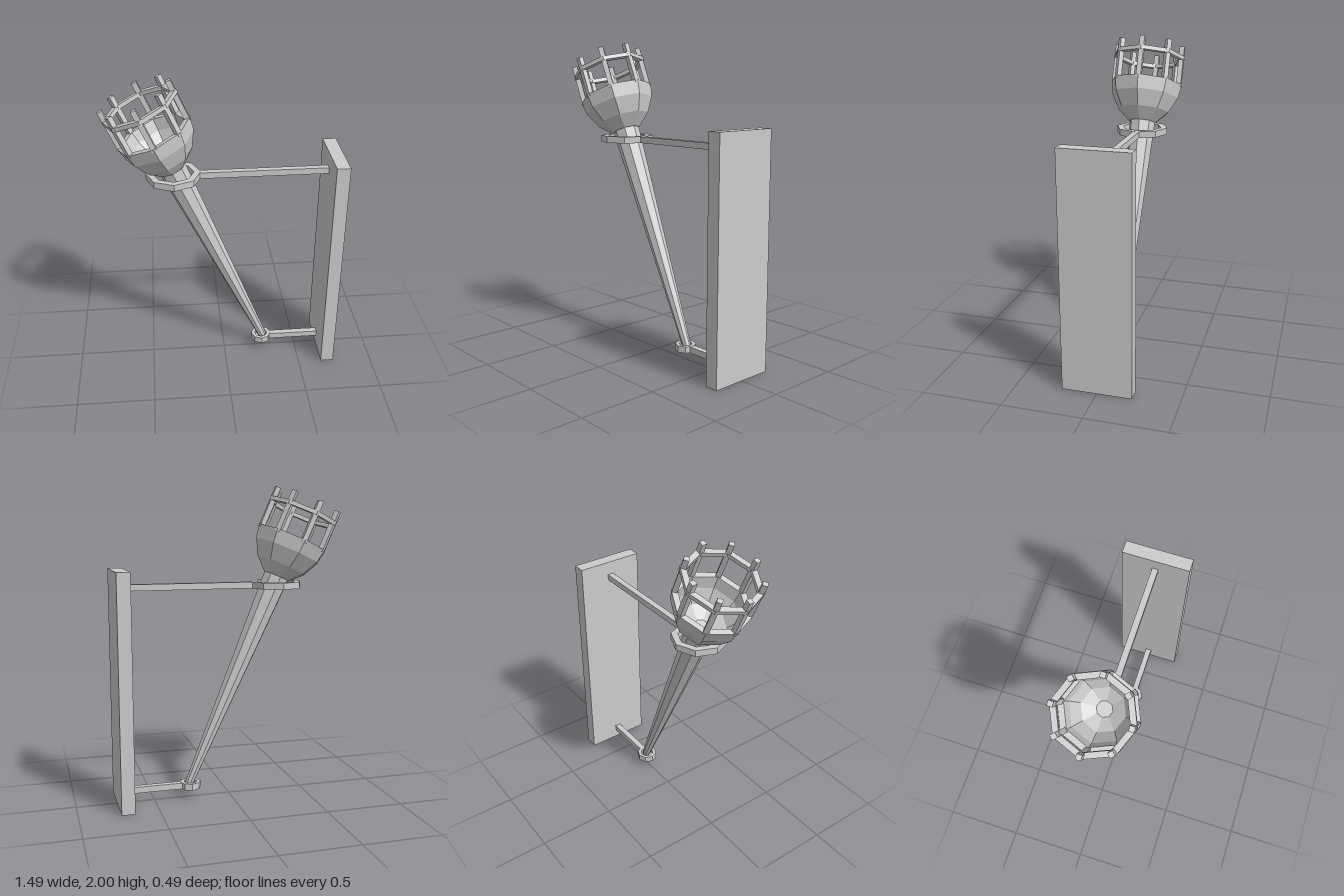
import * as THREE from 'three';

const SIDES = 8;
const material = new THREE.MeshStandardMaterial({ color: 0xcccccc, flatShading: true });

function add(parent, name, geometry, x = 0, y = 0, z = 0) {
  const mesh = new THREE.Mesh(geometry, material);
  mesh.name = name;
  mesh.position.set(x, y, z);
  parent.add(mesh);
  return mesh;
}

// Eight-sided turned shape from [radius, height] pairs, outside going up
function turned(profile) {
  return new THREE.LatheGeometry(profile.map(([r, y]) => new THREE.Vector2(r, y)), SIDES);
}

// Eight-sided band with a rectangular section
function band(inner, outer, height) {
  const h = height / 2;
  return turned([[inner, -h], [outer, -h], [outer, h], [inner, h], [inner, -h]]);
}

export function createModel() {
  const model = new THREE.Group();
  model.name = 'wallTorch';

  // Wall plate
  add(model, 'wallPlate', new THREE.BoxGeometry(0.085, 1.49, 0.436), 0.698, 0.745, 0);

  // Upper bracket: arm and open ring
  add(model, 'upperArm', new THREE.BoxGeometry(0.84, 0.04, 0.04), 0.24, 1.38, 0);
  add(model, 'upperRing', band(0.128, 0.17, 0.042), -0.315, 1.38, 0);

  // Lower bracket: arm and shallow cup
  add(model, 'lowerArm', new THREE.BoxGeometry(0.36, 0.04, 0.04), 0.485, 0.08, 0);
  add(model, 'lowerCup', turned([
    [0, 0.06], [0.067, 0.06], [0.067, 0.102], [0.043, 0.102], [0.043, 0.072], [0, 0.072],
  ]), 0.26, 0, 0);

  // Torch, built upright along its own axis and then leaned over
  const torch = new THREE.Group();
  torch.name = 'torch';
  torch.position.set(0.265, 0.1, 0);
  torch.rotation.z = 0.414;
  model.add(torch);

  // Tapered shaft
  add(torch, 'shaft', turned([[0, -0.015], [0.027, -0.015], [0.087, 1.47], [0, 1.47]]));

  // Hollow bowl
  add(torch, 'bowl', turned([
    [0, 1.455], [0.09, 1.455], [0.171, 1.53], [0.226, 1.63], [0.243, 1.717],
    [0.203, 1.717], [0.188, 1.64], [0.135, 1.55], [0.05, 1.5], [0, 1.5],
  ]));

  // Cage: upright bars at the corners, tied by a band
  for (let i = 0; i < SIDES; i++) {
    const a = (i / SIDES) * Math.PI * 2;
    const bar = add(torch, 'cageBar', new THREE.BoxGeometry(0.032, 0.275, 0.032),
      Math.cos(a) * 0.221, 1.837, Math.sin(a) * 0.221);
    bar.rotation.y = -a;
  }
  add(torch, 'cageBand', band(0.205, 0.243, 0.026), 0, 1.897, 0);

  return model;
}
